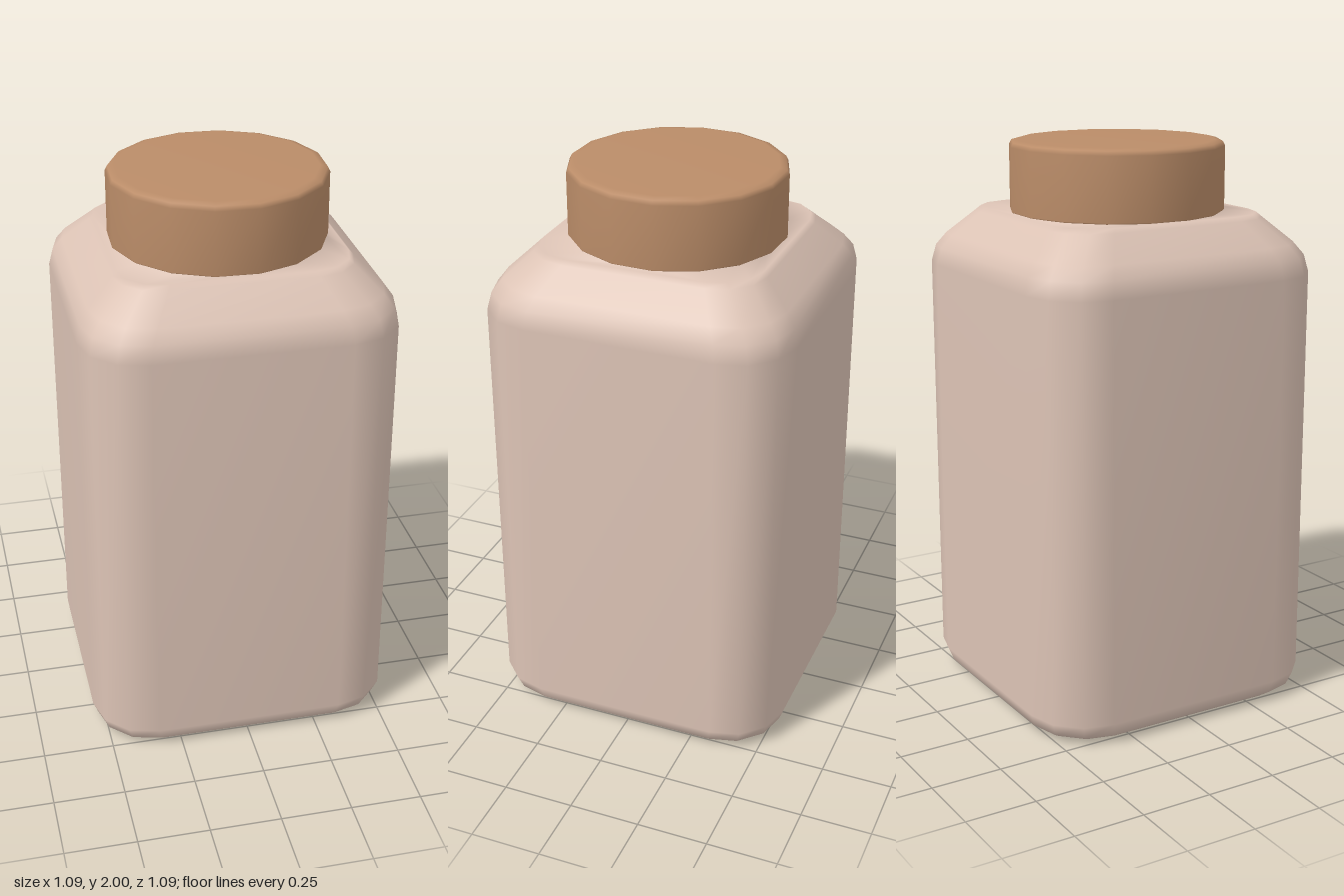
import * as THREE from 'three';

const SIDES = 16;

// 16-point loop: a square with rounded corners, given its half width
function squareRing(y, half) {
  const corner = [[1, 0.615], [0.949, 0.808], [0.808, 0.949], [0.615, 1]];
  const pts = [];
  for (let q = 0; q < 4; q++) {
    const c = Math.round(Math.cos(q * Math.PI / 2));
    const s = Math.round(Math.sin(q * Math.PI / 2));
    for (const [u, v] of corner) {
      pts.push([half * (u * c - v * s), y, half * (u * s + v * c)]);
    }
  }
  return pts;
}

// 16-point circle whose corners line up with the square loop
function roundRing(y, radius, turn = Math.PI / 16) {
  return Array.from({ length: SIDES }, (_, i) => {
    const a = turn + (i / SIDES) * Math.PI * 2;
    return [radius * Math.cos(a), y, radius * Math.sin(a)];
  });
}

// Skin over loops from bottom to top, closed at both ends
function loft(rings) {
  const pos = rings.flat(2);
  const index = [];
  for (let r = 0; r < rings.length - 1; r++) {
    for (let i = 0; i < SIDES; i++) {
      const j = (i + 1) % SIDES;
      const a = r * SIDES + i, b = r * SIDES + j;
      const c = a + SIDES, d = b + SIDES;
      index.push(a, c, b, b, c, d);
    }
  }
  const last = (rings.length - 1) * SIDES;
  const bottom = pos.length / 3, top = bottom + 1;
  pos.push(0, rings[0][0][1], 0, 0, rings[rings.length - 1][0][1], 0);
  for (let i = 0; i < SIDES; i++) {
    const j = (i + 1) % SIDES;
    index.push(bottom, i, j, top, last + j, last + i);
  }
  const g = new THREE.BufferGeometry();
  g.setAttribute('position', new THREE.Float32BufferAttribute(pos, 3));
  g.setIndex(index);
  g.computeVertexNormals();
  return g;
}

export function createModel() {
  const group = new THREE.Group();
  group.name = 'jar';

  // Square body with bevelled base, sloping shoulder and a round neck
  const profile = [
    [0, 0.47], [0.008, 0.5], [0.028, 0.528], [0.075, 0.545],
    [1.55, 0.545], [1.61, 0.531], [1.655, 0.499], [1.74, 0.41], [1.755, 0.395],
  ];
  const body = new THREE.Mesh(
    loft([...profile.map(([y, h]) => squareRing(y, h)), roundRing(1.752, 0.35), roundRing(1.85, 0.34)]),
    new THREE.MeshStandardMaterial({ color: 0xdcc3b5 })
  );
  body.name = 'body';
  group.add(body);

  // Round lid with a small bevel on its rims
  const turn = THREE.MathUtils.degToRad(13.6);
  const lidProfile = [
    [1.75, 0.372], [1.757, 0.379], [1.978, 0.379], [1.993, 0.371], [2, 0.345],
  ];
  const lid = new THREE.Mesh(
    loft(lidProfile.map(([y, r]) => roundRing(y, r, turn))),
    new THREE.MeshStandardMaterial({ color: 0xba8c68 })
  );
  lid.name = 'lid';
  group.add(lid);

  return group;
}
